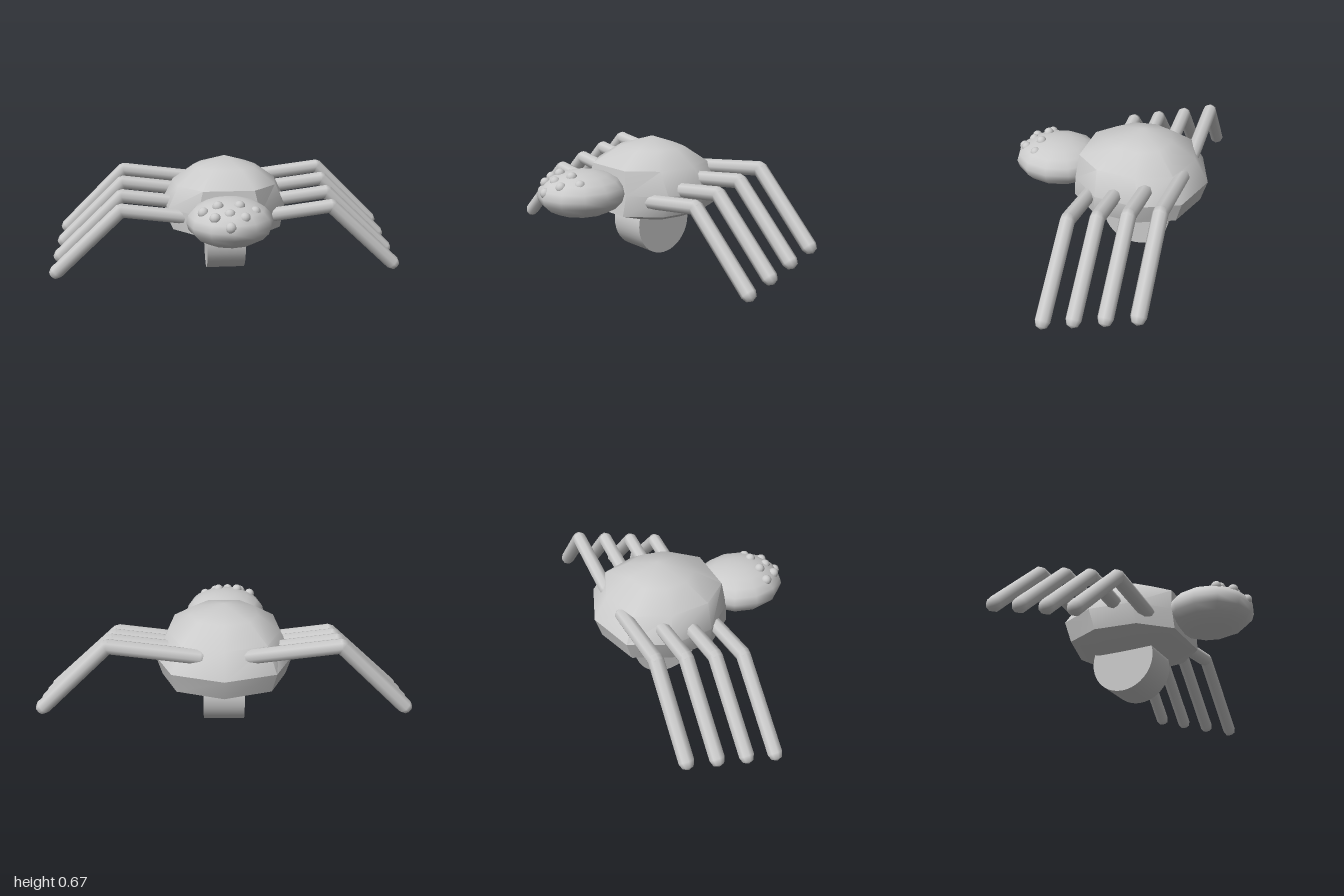
import * as THREE from 'three';
import { toCreasedNormals } from 'three/addons/utils/BufferGeometryUtils.js';

const grey = new THREE.MeshStandardMaterial({ color: 0xcccccc });

function add(parent, name, geometry, x = 0, y = 0, z = 0) {
  const mesh = new THREE.Mesh(geometry, grey);
  mesh.name = name;
  mesh.position.set(x, y, z);
  parent.add(mesh);
  return mesh;
}

// Faceted abdomen lofted from horizontal rings: [y, half width, back z, front z]
function abdomenGeometry() {
  const rings = [
    [0.235, 0.22, -0.37, 0.01],
    [0.285, 0.335, -0.52, 0.155],
    [0.40, 0.365, -0.555, 0.145],
    [0.53, 0.3, -0.48, 0.13],
    [0.615, 0.18, -0.35, -0.01],
  ];
  const n = 9;
  const pos = [0, 0.23, -0.185];
  const index = [];
  for (const [y, rx, back, front] of rings) {
    const mid = (back + front) / 2, rz = (front - back) / 2;
    for (let i = 0; i < n; i++) {
      const a = (i / n) * Math.PI * 2;
      const s = Math.sin(a), c = Math.cos(a);
      // one corner points backwards, a flat facet faces forwards
      pos.push(rx * Math.sign(s) * Math.abs(s) ** 0.7, y, mid - rz * (c < 0 ? c / 0.94 : c));
    }
  }
  const top = pos.length / 3;
  pos.push(0, 0.67, -0.185);
  const last = 1 + (rings.length - 1) * n;
  for (let i = 0; i < n; i++) {
    const j = (i + 1) % n;
    index.push(0, 1 + i, 1 + j);
    for (let r = 0; r < rings.length - 1; r++) {
      const a = 1 + r * n + i, b = 1 + r * n + j;
      index.push(a, a + n, b, b, a + n, b + n);
    }
    index.push(last + i, top, last + j);
  }
  const g = new THREE.BufferGeometry();
  g.setAttribute('position', new THREE.Float32BufferAttribute(pos, 3));
  g.setIndex(index);
  return toCreasedNormals(g, 0.75);
}

// Round-ended rod between two points
function rod(parent, name, a, b, radius) {
  const dir = b.clone().sub(a);
  const mesh = add(parent, name, new THREE.CapsuleGeometry(radius, dir.length(), 2, 8));
  mesh.position.copy(a).add(b).multiplyScalar(0.5);
  mesh.quaternion.setFromUnitVectors(new THREE.Vector3(0, 1, 0), dir.normalize());
}

export function createModel() {
  const model = new THREE.Group();
  model.name = 'spider';

  add(model, 'abdomen', abdomenGeometry());

  // Flattened head, its back sunk into the abdomen
  const head = new THREE.SphereGeometry(1, 12, 10);
  head.scale(0.23, 0.125, 0.25);
  add(model, 'head', head, -0.01, 0.41, 0.302);

  // Eyes: a row of four, a row of three and one in front
  const eyes = [
    [-0.155, 0.485, 0.40], [-0.08, 0.515, 0.395], [0.03, 0.515, 0.395], [0.11, 0.485, 0.40],
    [-0.10, 0.475, 0.475], [-0.025, 0.49, 0.462], [0.05, 0.475, 0.478], [-0.025, 0.438, 0.525],
  ];
  for (const p of eyes) add(model, 'eye', new THREE.SphereGeometry(0.029, 12, 8), ...p);

  // Four pairs of bent legs, each pair higher towards the back
  for (const side of [1, -1]) {
    for (let i = 0; i < 4; i++) {
      const leg = new THREE.Group();
      leg.name = side > 0 ? 'leftLeg' : 'rightLeg';
      const z = 0.033 - 0.157 * i;
      const lift = 0.0445 * i;
      const hip = new THREE.Vector3(side * 0.12, 0.35 + lift, z);
      const knee = new THREE.Vector3(side * 0.59, 0.41 + lift, z);
      const tip = new THREE.Vector3(side * (0.962 - 0.007 * i), 0.062 + lift, z);
      rod(leg, 'upperLeg', hip, knee, 0.04);
      rod(leg, 'lowerLeg', knee, tip, 0.04);
      model.add(leg);
    }
  }

  // Round foot below the abdomen
  const stand = new THREE.CylinderGeometry(0.185, 0.185, 0.22, 40);
  stand.rotateZ(Math.PI / 2);
  add(model, 'stand', stand, 0, 0.185, -0.185);

  return model;
}
